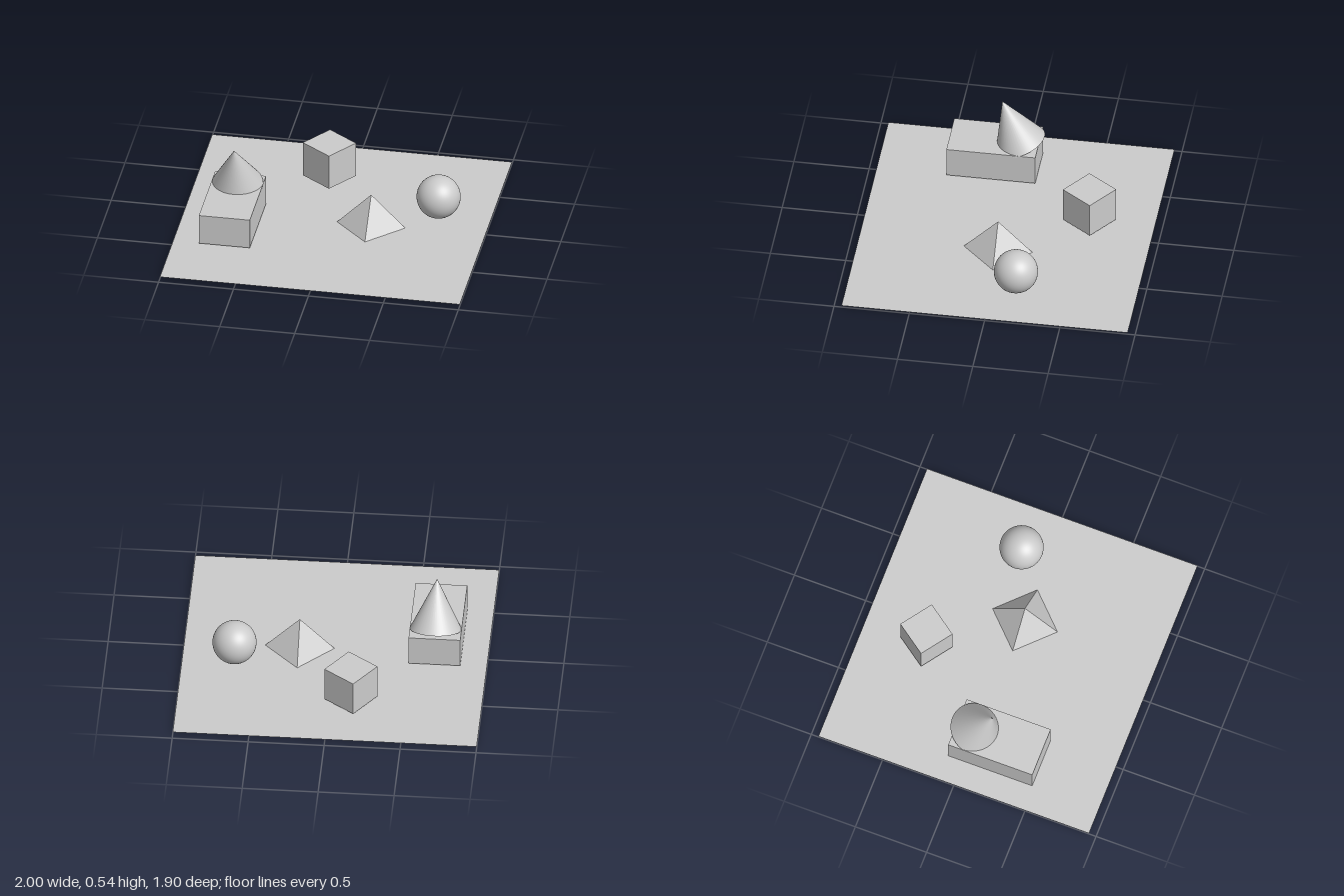
import * as THREE from 'three';

export function createModel() {
  const group = new THREE.Group();
  const smooth = new THREE.MeshStandardMaterial({ color: 0xcccccc });
  const flat = new THREE.MeshStandardMaterial({ color: 0xcccccc, flatShading: true });
  const sheet = new THREE.MeshStandardMaterial({ color: 0xcccccc, side: THREE.DoubleSide });

  const add = (name, geometry, material, x, y, z) => {
    const mesh = new THREE.Mesh(geometry, material);
    mesh.name = name;
    mesh.position.set(x, y, z);
    group.add(mesh);
    return mesh;
  };

  // Thin ground sheet
  add('floor', new THREE.PlaneGeometry(2, 1.9).rotateX(-Math.PI / 2), sheet, 0, 0.012, 0);

  // Long box carrying the leaning cone
  add('block', new THREE.BoxGeometry(0.34, 0.21, 0.59), flat, -0.656, 0.126, 0.19);

  // Cone pivots about its base centre, leaning forward into the block
  const cone = new THREE.ConeGeometry(0.171, 0.342, 48).translate(0, 0.171, 0);
  add('cone', cone, smooth, -0.655, 0.223, 0.019).rotation.x = 0.36;

  // Turned cube
  add('cube', new THREE.BoxGeometry(0.247, 0.247, 0.247), flat, -0.139, 0.159, -0.52).rotation.y = -0.624;

  // Four-sided pyramid, corners on the axes, base just below the floor
  add('pyramid', new THREE.ConeGeometry(0.24, 0.24, 4), flat, 0.24, 0.12, 0.028);

  // Ball
  add('ball', new THREE.SphereGeometry(0.145, 48, 32), smooth, 0.656, 0.166, -0.155);

  return group;
}
